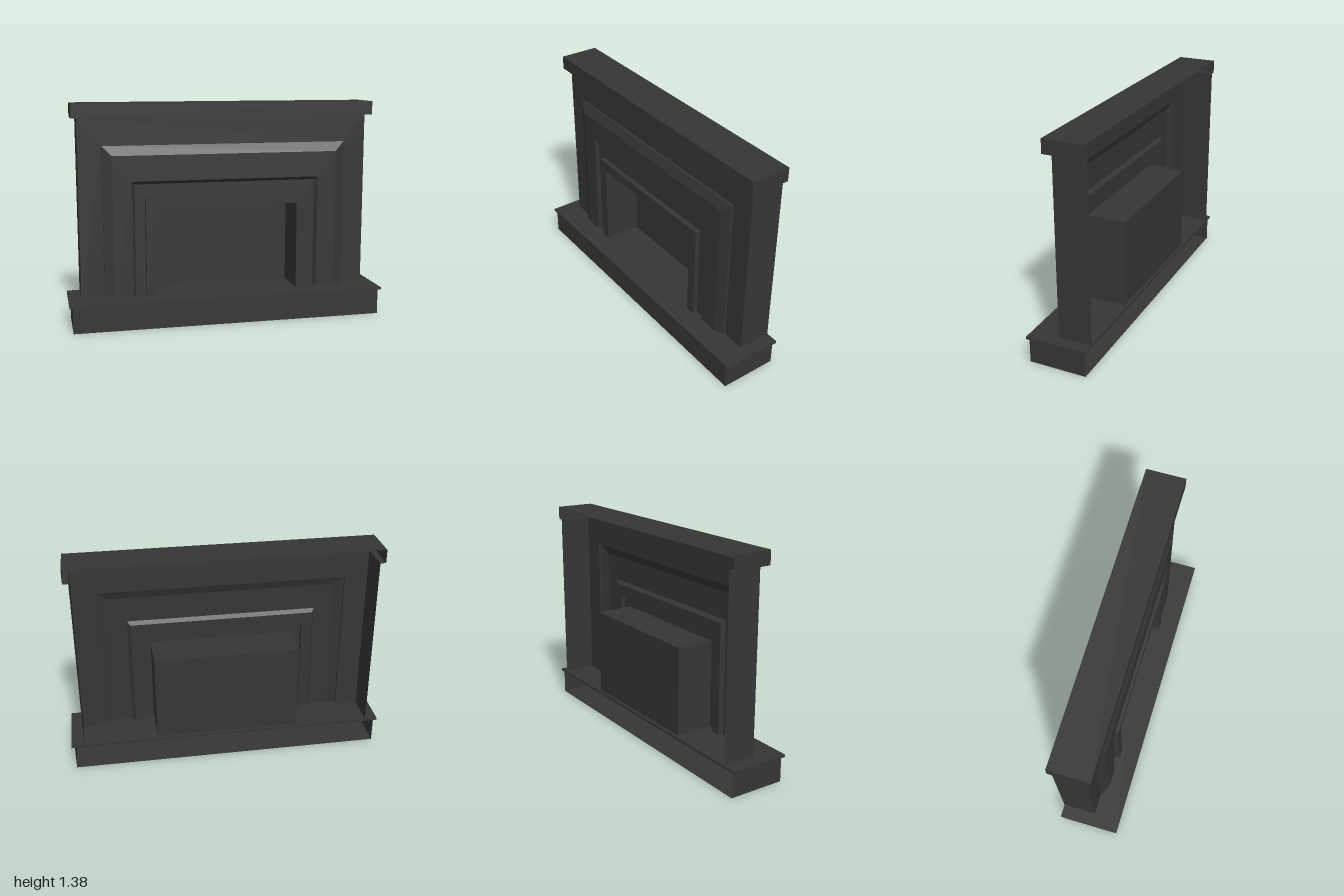
import * as THREE from 'three';

const stone = new THREE.MeshStandardMaterial({ color: 0x363636, side: THREE.DoubleSide });
stone.name = 'charcoal stone';

// Box face order used by BoxGeometry
const FACES = ['right', 'left', 'top', 'bottom', 'front', 'back'];

// Box from min/max corners, without the faces listed in "open"
function openBox(name, [x0, y0, z0], [x1, y1, z1], open = []) {
  const geo = new THREE.BoxGeometry(x1 - x0, y1 - y0, z1 - z0);
  const index = Array.from(geo.index.array);
  geo.setIndex(FACES.flatMap((f, i) => (open.includes(f) ? [] : index.slice(i * 6, i * 6 + 6))));
  geo.clearGroups();
  geo.translate((x0 + x1) / 2, (y0 + y1) / 2, (z0 + z1) / 2);
  const mesh = new THREE.Mesh(geo, stone);
  mesh.name = name;
  return mesh;
}

// Three-sided arch surface swept through a profile of [halfWidth, topY, z], outside to inside
function archSurface(name, bottom, profile) {
  const outline = ([w, h, z]) => [[-w, bottom, z], [-w, h, z], [w, h, z], [w, bottom, z]];
  const positions = [];
  for (let p = 0; p < profile.length - 1; p++) {
    const outer = outline(profile[p]);
    const inner = outline(profile[p + 1]);
    for (let i = 0; i < 3; i++) {
      const [a, b, c, d] = [outer[i], outer[i + 1], inner[i + 1], inner[i]];
      positions.push(...a, ...d, ...c, ...a, ...c, ...b);
    }
  }
  const geo = new THREE.BufferGeometry();
  geo.setAttribute('position', new THREE.Float32BufferAttribute(positions, 3));
  geo.computeVertexNormals();
  const mesh = new THREE.Mesh(geo, stone);
  mesh.name = name;
  return mesh;
}

// Flat horizontal or upright plate
function plate(name, w, h, position, rotation = [0, 0, 0]) {
  const mesh = new THREE.Mesh(new THREE.PlaneGeometry(w, h), stone);
  mesh.position.set(...position);
  mesh.rotation.set(...rotation);
  mesh.name = name;
  return mesh;
}

export function createModel() {
  const model = new THREE.Group();
  model.name = 'fireplace';

  // Hearth: hollow plinth with an overhanging slab
  model.add(openBox('hearthBase', [-0.98, 0, -0.18], [0.98, 0.16, 0.18], ['top', 'back']));
  model.add(openBox('hearthSlab', [-1, 0.16, -0.19], [1, 0.175, 0.19]));

  // Chimney breast: front wall with an opening, and two side walls
  model.add(archSurface('breastFront', 0.175, [[0.92, 1.29, 0.02], [0.775, 1.12, 0.02]]));
  for (const s of [-1, 1]) {
    model.add(plate(s > 0 ? 'breastLeftSide' : 'breastRightSide', 0.21, 1.115,
      [s * 0.92, 0.7325, -0.085], [0, s * Math.PI / 2, 0]));
  }

  // Bevelled moulding stepping down to the inner panel
  model.add(archSurface('moulding', 0.18, [
    [0.775, 1.12, 0.02], [0.775, 1.12, 0.035], [0.715, 1.06, 0.058],
    [0.597, 0.9, 0.058], [0.578, 0.88, 0.035], [0.515, 0.8, 0.035],
  ]));

  // Raised frame around the fire opening
  model.add(archSurface('openingFrame', 0.18, [
    [0.515, 0.8, 0.035], [0.515, 0.8, 0.067], [0.455, 0.735, 0.067],
  ]));

  // Firebox: lining, back and floor
  model.add(archSurface('fireboxLining', 0.18, [[0.455, 0.735, 0.067], [0.455, 0.735, -0.175]]));
  model.add(plate('fireboxBack', 0.91, 0.555, [0, 0.4575, -0.175]));
  model.add(plate('fireboxFloor', 0.91, 0.242, [0, 0.18, -0.054], [-Math.PI / 2, 0, 0]));

  // Mantel shelf: hollow, with an underside only where it overhangs
  model.add(openBox('mantelShelf', [-0.955, 1.29, -0.19], [0.955, 1.375, 0.06], ['bottom', 'back']));
  model.add(plate('mantelFrontSoffit', 1.91, 0.04, [0, 1.29, 0.04], [Math.PI / 2, 0, 0]));
  for (const s of [-1, 1]) {
    model.add(plate(s > 0 ? 'mantelLeftSoffit' : 'mantelRightSoffit', 0.035, 0.21,
      [s * 0.9375, 1.29, -0.085], [Math.PI / 2, 0, 0]));
  }

  return model;
}
